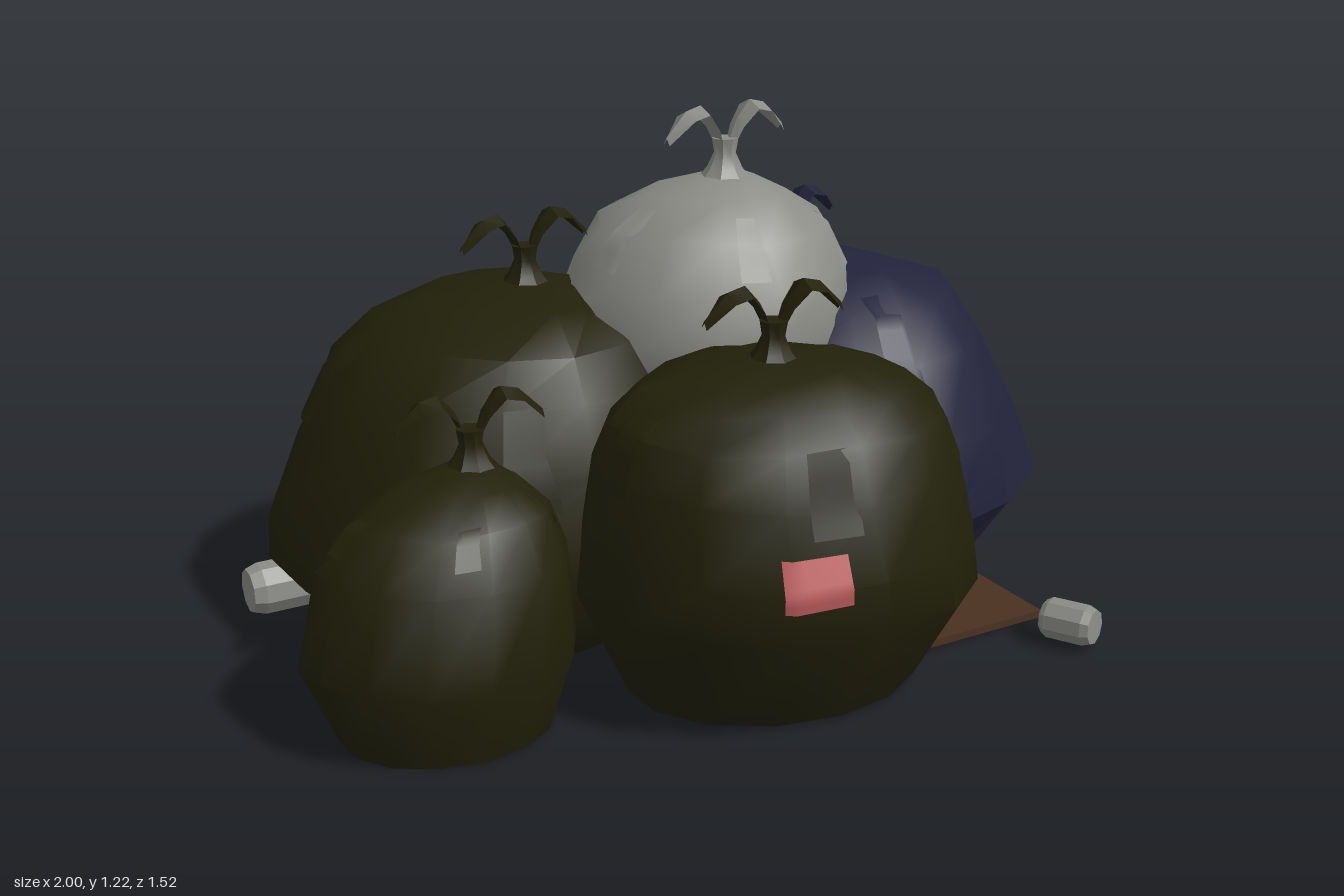
import * as THREE from 'three';
import { toCreasedNormals } from 'three/addons/utils/BufferGeometryUtils.js';

const SIDES = 14;

function material(name, color, side = THREE.FrontSide) {
  const m = new THREE.MeshStandardMaterial({ color, side });
  m.name = name;
  return m;
}

function mesh(name, geometry, mat) {
  const m = new THREE.Mesh(geometry, mat);
  m.name = name;
  return m;
}

// Small repeatable dent for each ring corner, 0..1
function dent(seed, i, j) {
  const s = Math.sin(seed * 17.3 + i * 41.7 + j * 12.9) * 4375.85;
  return s - Math.floor(s);
}

function geometryFrom(points, index) {
  const g = new THREE.BufferGeometry();
  g.setAttribute('position', new THREE.Float32BufferAttribute(points, 3));
  g.setIndex(index);
  g.computeVertexNormals();
  return g;
}

// Corner j of ring i; a ring is [y, centre x, centre z, radius x, radius z]
function corner(bag, i, j) {
  const [y, cx, cz, rx, rz] = bag.rings[i];
  const k = ((j % SIDES) + SIDES) % SIDES;
  const a = (k / SIDES) * Math.PI * 2;
  const f = 1.025 - 0.035 * dent(bag.seed, i, k);
  const last = i === 0 || i === bag.rings.length - 1;
  const dy = last ? 0 : (dent(bag.seed + 5, i, k) - 0.5) * 0.02;
  return new THREE.Vector3(cx + Math.cos(a) * rx * f, y + dy, cz + Math.sin(a) * rz * f);
}

// Closed sack skin from stacked rings
function sackGeometry(bag) {
  const points = [], index = [], n = bag.rings.length;
  for (let i = 0; i < n; i++)
    for (let j = 0; j < SIDES; j++) points.push(...corner(bag, i, j).toArray());
  const [y0, x0, z0] = bag.rings[0];
  const [y1, x1, z1] = bag.rings[n - 1];
  points.push(x0, y0, z0, x1, y1 + 0.01, z1);
  for (let j = 0; j < SIDES; j++) {
    const k = (j + 1) % SIDES, top = (n - 1) * SIDES;
    for (let i = 0; i < n - 1; i++) {
      const a = i * SIDES + j, b = i * SIDES + k;
      index.push(a, a + SIDES, b, b, a + SIDES, b + SIDES);
    }
    index.push(n * SIDES, j, k, n * SIDES + 1, top + k, top + j);
  }
  return toCreasedNormals(geometryFrom(points, index), 0.7);
}

// Point on the sack at side position s and height y
function onSack(bag, s, y, lift) {
  let i = 0;
  while (i < bag.rings.length - 2 && bag.rings[i + 1][0] < y) i++;
  const t = (y - bag.rings[i][0]) / (bag.rings[i + 1][0] - bag.rings[i][0]);
  const j = Math.floor(s), u = s - j;
  const low = corner(bag, i, j).lerp(corner(bag, i, j + 1), u);
  const high = corner(bag, i + 1, j).lerp(corner(bag, i + 1, j + 1), u);
  const a = (s / SIDES) * Math.PI * 2;
  return low.lerp(high, t).add(new THREE.Vector3(Math.cos(a), 0.35, Math.sin(a)).multiplyScalar(lift));
}

// Thin patch following the sack; liftA and liftB raise its two side edges
function patchGeometry(bag, s0, s1, y0, y1, liftA, liftB, n = 6) {
  const points = [], index = [];
  for (let r = 0; r <= n; r++)
    for (let c = 0; c <= n; c++) {
      const u = c / n, lift = liftA + (liftB - liftA) * u;
      points.push(...onSack(bag, s0 + (s1 - s0) * u, y0 + ((y1 - y0) * r) / n, lift).toArray());
    }
  for (let r = 0; r < n; r++)
    for (let c = 0; c < n; c++) {
      const a = r * (n + 1) + c, b = a + n + 1;
      index.push(a, b, a + 1, a + 1, b, b + 1);
    }
  return geometryFrom(points, index);
}

// Folded, drooping strip of the tied knot
function earGeometry(sign) {
  const path = [[0.008, 0.07, 0.015], [0.035, 0.13, 0.028], [0.07, 0.17, 0.04], [0.11, 0.16, 0.038], [0.165, 0.105, 0.012]];
  const points = [], index = [];
  path.forEach(([x, y, w], i) => {
    points.push(sign * x, y - 0.01, -w, sign * x, y + 0.008, 0, sign * x, y - 0.01, w);
    if (i === 0) return;
    for (let k = 0; k < 2; k++) {
      const a = (i - 1) * 3 + k, b = a + 3;
      if (sign > 0) index.push(a, a + 1, b, b, a + 1, b + 1);
      else index.push(a, b, a + 1, b, b + 1, a + 1);
    }
  });
  return toCreasedNormals(geometryFrom(points, index), 0.5);
}

function makeKnot(mat, [x, y, z], yaw) {
  const knot = new THREE.Group();
  knot.name = 'knot';
  const profile = [[0.08, -0.02], [0.042, 0.025], [0.026, 0.06], [0.032, 0.095], [0, 0.09]];
  const neck = new THREE.LatheGeometry(profile.map(([r, h]) => new THREE.Vector2(r, h)), 8);
  knot.add(mesh('gatheredNeck', toCreasedNormals(neck, 0.6), mat));
  for (const sign of [-1, 1]) knot.add(mesh(sign > 0 ? 'leftEar' : 'rightEar', earGeometry(sign), mat));
  knot.position.set(x, y, z);
  knot.rotation.y = yaw;
  return knot;
}

function makeBag(name, bag, mat) {
  const group = new THREE.Group();
  group.name = name;
  group.add(mesh('sack', sackGeometry(bag), mat));
  // Loose creases, raised along one edge
  const low = bag.rings[2][0], high = bag.rings[bag.rings.length - 2][0];
  for (let k = 0; k < 5; k++) {
    const s = k * 2.8 + dent(bag.seed, k, 3);
    const y0 = low + (high - low) * (0.15 + 0.35 * dent(bag.seed, k, 8));
    group.add(mesh('fold', patchGeometry(bag, s, s + 0.7, y0, y0 + (high - low) * 0.45, -0.003, 0.01), mat));
  }
  group.add(makeKnot(mat, bag.knot, bag.yaw));
  return group;
}

function makeCan(name, mat, radius, length, position, direction) {
  const profile = [[0, 0], [0.82, 0], [1, 0.12], [1, 0.85], [0.85, 1], [0, 1]];
  const can = mesh(name, toCreasedNormals(new THREE.LatheGeometry(
    profile.map(([r, h]) => new THREE.Vector2(r * radius, (h - 0.5) * length)), 9), 0.3), mat);
  can.position.set(...position);
  can.quaternion.setFromUnitVectors(new THREE.Vector3(0, 1, 0), new THREE.Vector3(...direction).normalize());
  return can;
}

export function createModel() {
  const model = new THREE.Group();
  model.name = 'garbagePile';
  const green = material('darkOlive', 0x212009, THREE.DoubleSide);
  const blue = material('darkBlue', 0x22223b, THREE.DoubleSide);
  const grey = material('paleGrey', 0x8c8c87, THREE.DoubleSide);
  const red = material('paleRed', 0xc26060, THREE.DoubleSide);
  const brown = material('cardboardBrown', 0x4b3120);

  // Ring rows: y, centre x, centre z, radius x, radius z
  const bigGreen = { seed: 1, knot: [-0.3, 0.81, -0.24], yaw: 0.28, rings: [
    [0.01, -0.35, -0.21, 0.36, 0.33], [0.2, -0.36, -0.23, 0.57, 0.5], [0.3, -0.36, -0.23, 0.565, 0.52],
    [0.5, -0.36, -0.23, 0.48, 0.48], [0.64, -0.36, -0.23, 0.415, 0.43], [0.74, -0.35, -0.22, 0.33, 0.35],
    [0.79, -0.33, -0.23, 0.22, 0.21], [0.815, -0.31, -0.24, 0.1, 0.1]] };
  const blueBag = { seed: 2, knot: [0.37, 0.8, -0.31], yaw: 0.35, rings: [
    [0.01, 0.5, -0.24, 0.33, 0.3], [0.27, 0.495, -0.25, 0.5, 0.49], [0.45, 0.49, -0.265, 0.44, 0.505],
    [0.65, 0.47, -0.26, 0.36, 0.42], [0.75, 0.47, -0.24, 0.29, 0.31], [0.795, 0.45, -0.26, 0.17, 0.17], [0.815, 0.41, -0.3, 0.08, 0.07]] };
  const frontGreen = { seed: 3, knot: [0.1, 0.77, 0.37], yaw: 0.15, rings: [
    [0.018, 0.12, 0.34, 0.34, 0.25], [0.27, 0.13, 0.35, 0.455, 0.385], [0.4, 0.12, 0.355, 0.44, 0.4],
    [0.55, 0.11, 0.36, 0.41, 0.335], [0.66, 0.11, 0.36, 0.37, 0.295], [0.73, 0.11, 0.36, 0.3, 0.235],
    [0.765, 0.1, 0.365, 0.18, 0.14], [0.78, 0.1, 0.37, 0.08, 0.07]] };
  const smallGreen = { seed: 4, knot: [-0.54, 0.56, 0.27], yaw: 0.15, rings: [
    [0.01, -0.63, 0.36, 0.23, 0.18], [0.2, -0.64, 0.36, 0.295, 0.24], [0.4, -0.62, 0.355, 0.265, 0.215],
    [0.5, -0.6, 0.335, 0.21, 0.165], [0.55, -0.57, 0.3, 0.12, 0.1], [0.57, -0.55, 0.28, 0.06, 0.055]] };
  const greyBag = { seed: 6, knot: [0.17, 1.05, -0.17], yaw: 0.3, rings: [
    [0.5, 0.13, -0.2, 0.27, 0.28], [0.64, 0.125, -0.2, 0.33, 0.35], [0.74, 0.122, -0.2, 0.35, 0.36],
    [0.84, 0.14, -0.2, 0.325, 0.33], [0.95, 0.14, -0.19, 0.27, 0.265], [1.02, 0.155, -0.175, 0.17, 0.16],
    [1.055, 0.17, -0.17, 0.07, 0.065]] };
  model.add(
    makeBag('bigGreenBag', bigGreen, green), makeBag('blueBag', blueBag, blue),
    makeBag('frontGreenBag', frontGreen, green), makeBag('smallGreenBag', smallGreen, green),
    makeBag('greyBag', greyBag, grey));

  // Scraps stuck to the bags
  model.add(
    mesh('redScrap', patchGeometry(frontGreen, 3.4, 4.12, 0.365, 0.47, 0.009, 0.009), red),
    mesh('smallGreyScrap', patchGeometry(frontGreen, -0.1, 0.2, 0.37, 0.45, 0.009, 0.009), grey),
    mesh('largeGreyScrap', patchGeometry(blueBag, 3.07, 3.7, 0.37, 0.54, 0.009, 0.009), grey));

  // Flattened cardboard under the pile
  const sheet = mesh('cardboardSheet', new THREE.BoxGeometry(0.95, 0.018, 0.7), brown);
  sheet.position.set(0.3, 0.0225, 0.03);
  sheet.rotation.y = 0.219;
  model.add(sheet);

  // Loose cans
  model.add(
    makeCan('leftCan', grey, 0.064, 0.19, [-0.897, 0.083, -0.315], [-1, 0, 0.22]),
    makeCan('rightCan', grey, 0.049, 0.125, [0.838, 0.068, 0.41], [0.6, 0.05, 0.8]));
  return model;
}
